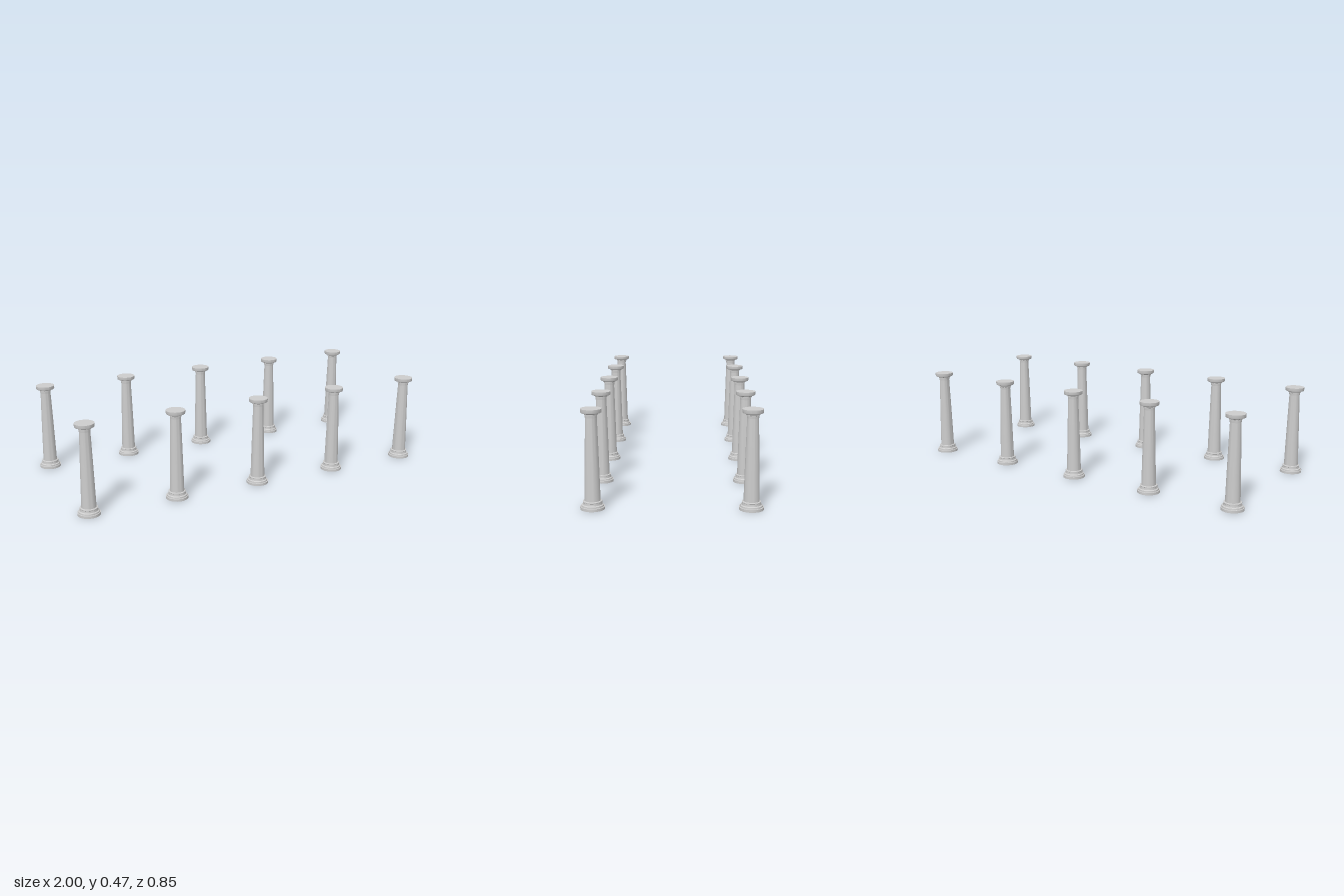
import * as THREE from 'three';
import { toCreasedNormals } from 'three/addons/utils/BufferGeometryUtils.js';

const SIDES = 32;
const material = new THREE.MeshStandardMaterial({ color: 0xcccccc });

// Turned solid from [radius, height] pairs, bottom to top, with crisp mouldings
function turned(profile) {
  const points = profile.map(([r, y]) => new THREE.Vector2(r, y));
  return toCreasedNormals(new THREE.LatheGeometry(points, SIDES), Math.PI / 6);
}

const parts = {
  // stepped plinth with a small collar on top
  base: turned([
    [0, 0], [0.058, 0], [0.058, 0.013], [0.053, 0.014], [0.052, 0.021],
    [0.046, 0.024], [0.044, 0.034], [0.045, 0.035], [0.045, 0.039],
    [0.038, 0.041], [0, 0.041],
  ]),
  // tapering shaft
  shaft: turned([[0.0375, 0.04], [0.0345, 0.17], [0.031, 0.3], [0.027, 0.435]]),
  // neck ring, flared echinus and round abacus
  capital: turned([
    [0, 0.433], [0.028, 0.433], [0.029, 0.445], [0.032, 0.446], [0.032, 0.45],
    [0.036, 0.452], [0.043, 0.455], [0.048, 0.457], [0.0495, 0.461],
    [0.0495, 0.475], [0, 0.475],
  ]),
};

function makeColumn() {
  const column = new THREE.Group();
  for (const [name, geometry] of Object.entries(parts)) {
    const mesh = new THREE.Mesh(geometry, material);
    mesh.name = name;
    column.add(mesh);
  }
  return column;
}

export function createModel() {
  const model = new THREE.Group();
  model.name = 'colonnade';
  // two facing rows of five columns
  for (const [row, z] of [['front', 0.369], ['back', -0.369]]) {
    for (let i = -2; i <= 2; i++) {
      const column = makeColumn();
      column.name = `${row}Column${i + 3}`;
      column.position.set(i * 0.471, 0, z);
      model.add(column);
    }
  }
  return model;
}
